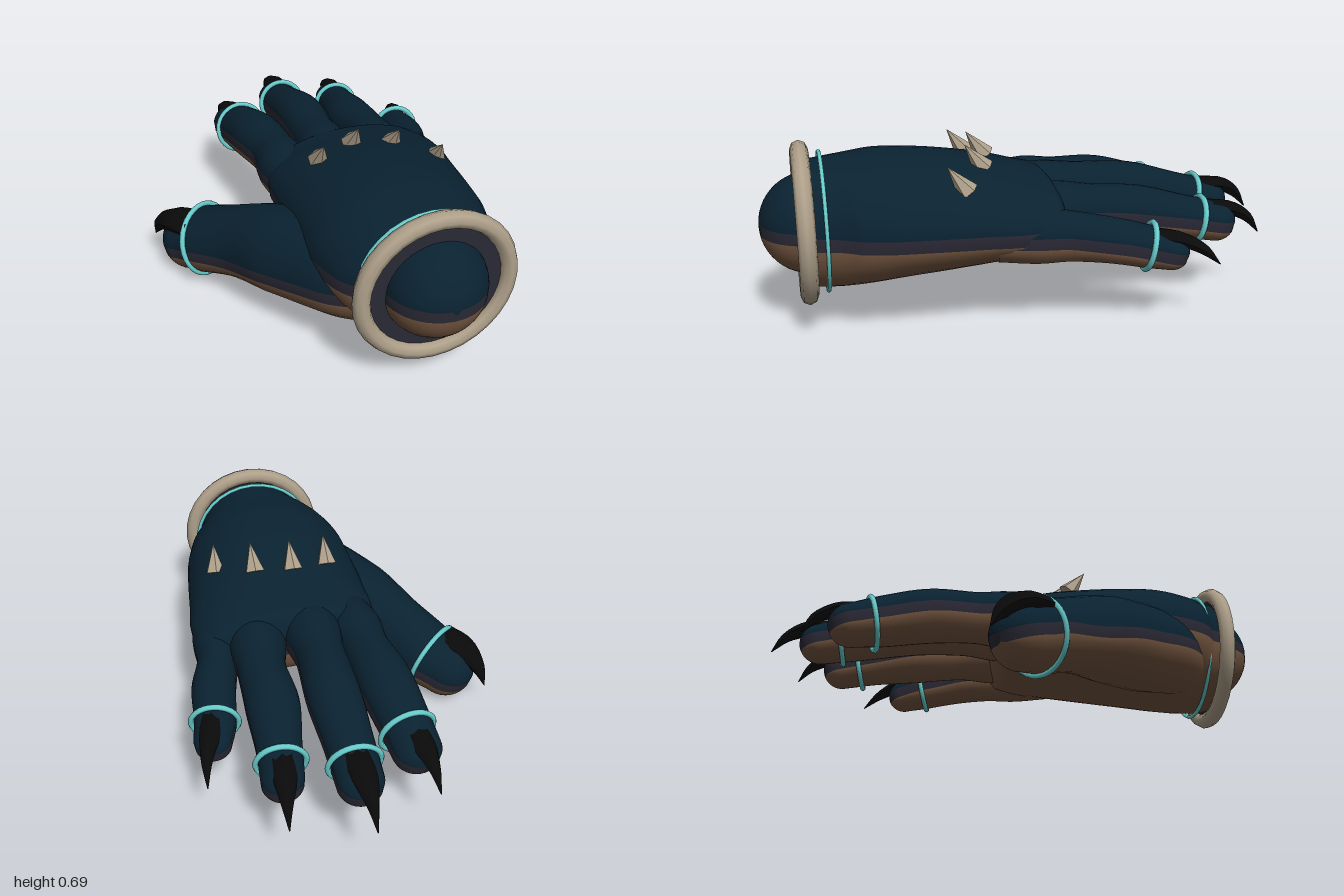
import * as THREE from 'three';

const mat = (name, color) => Object.assign(new THREE.MeshStandardMaterial({ color }), { name });
const navy = mat('navy hide', 0x0a2231);
const slate = mat('slate seam', 0x2a2935);
const brown = mat('brown palm', 0x745640);
const bone = mat('bone', 0xaea08a);
const cyan = mat('cyan trim', 0x6acfd0);
const black = mat('black claw', 0x0a0a0a);
const HIDE = [navy, slate, brown];
const UP = new THREE.Vector3(0, 1, 0);
const V = (a) => new THREE.Vector3(...a);

// Smooth loft along stations [x, y, z, halfWidth, rise, drop], coloured as top / seam / underside.
// The seam runs from height lo to hi about the centre line; the end is a dome of depth `cap`.
function limb(name, stations, { lo = -0.025, hi = 0.018, rows = 28, arc = 12, cap = 0, mats = HIDE } = {}) {
  const path = new THREE.CatmullRomCurve3(stations.map((s) => V(s.slice(0, 3))), false, 'centripetal');
  const size = new THREE.CatmullRomCurve3(stations.map((s) => V([s[3], s[4] ?? s[3], s[5] ?? s[4] ?? s[3]])));
  const pos = [], n = 2 * (arc + 1), domeRows = 12;
  const total = rows + (cap ? domeRows : 0);
  for (let i = 0; i <= total; i++) {
    const t = Math.min(i / rows, 1), bend = Math.max(0, i - rows) / domeRows * Math.PI / 2;
    const dir = path.getTangent(t), side = dir.clone().cross(UP).normalize(), up = side.clone().cross(dir);
    const c = path.getPoint(t).addScaledVector(dir, cap * Math.sin(bend));
    const r = size.getPoint(t).multiplyScalar(Math.cos(bend));
    const top = Math.asin(Math.min(1, hi / (r.y + 1e-6))), low = Math.asin(Math.max(-1, lo / (r.z + 1e-6)));
    for (let j = 0; j < n; j++) {
      const a = j <= arc ? top + (Math.PI - 2 * top) * j / arc
        : Math.PI - low + (Math.PI + 2 * low) * (j - arc - 1) / arc;
      const s = Math.sin(a);
      const p = c.clone().addScaledVector(side, r.x * Math.cos(a)).addScaledVector(up, s * (s > 0 ? r.y : r.z));
      pos.push(p.x, p.y, p.z);
    }
  }
  const parts = [[], [], []];
  for (let i = 0; i < total; i++) for (let j = 0; j < n; j++) {
    const a = i * n + j, b = i * n + (j + 1) % n, c = a + n, d = b + n;
    const k = j < arc ? 0 : (j === arc || j === n - 1) ? 1 : 2;
    parts[k].push(a, c, b, b, c, d);
  }
  const geo = new THREE.BufferGeometry();
  geo.setAttribute('position', new THREE.Float32BufferAttribute(pos, 3));
  geo.setIndex(parts.flat());
  let start = 0;
  parts.forEach((p, k) => { geo.addGroup(start, p.length, k); start += p.length; });
  geo.computeVertexNormals();
  const mesh = new THREE.Mesh(geo, mats);
  mesh.name = name;
  return mesh;
}

function torus(name, center, dir, radius, tube, material, sides = 6) {
  const mesh = new THREE.Mesh(new THREE.TorusGeometry(radius, tube, sides, 32), material);
  mesh.name = name;
  mesh.position.copy(V(center));
  mesh.quaternion.setFromUnitVectors(new THREE.Vector3(0, 0, 1), V(dir).normalize());
  return mesh;
}

// Each digit: body stations, tip dome depth, trim ring [centre, direction, radius], claw path
const digits = {
  thumb: {
    body: [[0.04, 0.31, 0.69, 0.12, 0.14], [-0.04, 0.29, 0.57, 0.168, 0.18, 0.15], [-0.11, 0.27, 0.45, 0.18, 0.2, 0.15],
      [-0.21, 0.243, 0.31, 0.175, 0.198, 0.14], [-0.33, 0.195, 0.15, 0.138, 0.175, 0.115],
      [-0.44, 0.152, 0.0, 0.138, 0.14, 0.13], [-0.495, 0.124, -0.065, 0.12, 0.125, 0.123]],
    cap: 0.12, ring: [[-0.447, 0.155, -0.008], [-0.63, -0.28, -0.77], 0.142],
    claw: [[-0.49, 0.235, 0.0, 0.085, 0.045], [-0.56, 0.225, -0.08, 0.062, 0.045], [-0.605, 0.17, -0.15, 0.03], [-0.625, 0.1, -0.19, 0.002]],
  },
  indexFinger: {
    body: [[-0.05, 0.38, 0.12, 0.11], [-0.09, 0.385, -0.06, 0.112, 0.12], [-0.1, 0.385, -0.2, 0.096, 0.105],
      [-0.122, 0.37, -0.38, 0.108], [-0.143, 0.325, -0.56, 0.1], [-0.155, 0.295, -0.68, 0.094, 0.085]],
    cap: 0.09, ring: [[-0.145, 0.312, -0.6], [-0.12, -0.2, -0.97], 0.105],
    claw: [[-0.15, 0.36, -0.63, 0.055, 0.03], [-0.167, 0.35, -0.73, 0.044, 0.03], [-0.18, 0.31, -0.81, 0.022], [-0.19, 0.24, -0.86, 0.002]],
  },
  middleFinger: {
    body: [[0.09, 0.41, 0.12, 0.11], [0.09, 0.415, -0.08, 0.115, 0.12], [0.09, 0.415, -0.24, 0.097, 0.105],
      [0.095, 0.405, -0.44, 0.103], [0.09, 0.355, -0.65, 0.092], [0.09, 0.32, -0.81, 0.086, 0.082]],
    cap: 0.085, ring: [[0.09, 0.337, -0.735], [0, -0.2, -0.98], 0.096],
    claw: [[0.09, 0.39, -0.755, 0.055, 0.03], [0.087, 0.38, -0.87, 0.044, 0.03], [0.083, 0.34, -0.945, 0.022], [0.08, 0.27, -1.0, 0.002]],
  },
  ringFinger: {
    body: [[0.28, 0.4, 0.12, 0.11], [0.308, 0.4, -0.08, 0.114, 0.115], [0.32, 0.395, -0.24, 0.094, 0.1],
      [0.315, 0.375, -0.4, 0.102], [0.33, 0.34, -0.6, 0.085], [0.345, 0.315, -0.735, 0.079]],
    cap: 0.077, ring: [[0.335, 0.327, -0.66], [0.08, -0.18, -0.97], 0.09],
    claw: [[0.337, 0.378, -0.68, 0.05, 0.028], [0.345, 0.365, -0.79, 0.041, 0.028], [0.355, 0.325, -0.865, 0.02], [0.36, 0.26, -0.915, 0.002]],
  },
  littleFinger: {
    body: [[0.43, 0.37, 0.16, 0.1], [0.457, 0.365, 0.03, 0.096, 0.105], [0.472, 0.355, -0.1, 0.08, 0.095],
      [0.508, 0.34, -0.24, 0.085], [0.525, 0.308, -0.38, 0.08], [0.547, 0.288, -0.462, 0.072, 0.068]],
    cap: 0.07, ring: [[0.527, 0.312, -0.382], [0.16, -0.2, -0.96], 0.088],
    claw: [[0.535, 0.355, -0.395, 0.044, 0.028], [0.56, 0.34, -0.49, 0.038, 0.028], [0.585, 0.3, -0.575, 0.02], [0.595, 0.24, -0.64, 0.002]],
  },
};

export function createModel() {
  const model = new THREE.Group();
  model.name = 'clawedHand';

  // Back of the hand and palm, from wrist to knuckles
  model.add(limb('palm', [
    [0.17, 0.385, 0.83, 0.235, 0.235, 0.235], [0.17, 0.385, 0.77, 0.255, 0.24, 0.24],
    [0.162, 0.385, 0.68, 0.315, 0.245, 0.235], [0.155, 0.385, 0.55, 0.35, 0.255, 0.22],
    [0.16, 0.385, 0.38, 0.362, 0.243, 0.2], [0.168, 0.385, 0.2, 0.37, 0.215, 0.175],
    [0.175, 0.385, 0.07, 0.376, 0.185, 0.155], [0.172, 0.385, -0.04, 0.35, 0.157, 0.135],
  ], { lo: -0.03, arc: 20, rows: 36, cap: 0.075 }));

  // Rounded wrist end
  model.add(limb('wristEnd', [[0.17, 0.387, 0.68, 0.19], [0.17, 0.387, 0.81, 0.19]],
    { arc: 16, rows: 4, cap: 0.19 }));

  // Cuff: bone ring, dark lining and thin trim
  model.add(torus('cuffRing', [0.17, 0.387, 0.837], [0, 0, 1], 0.272, 0.033, bone, 8));
  model.add(torus('wristTrim', [0.17, 0.387, 0.767], [0, 0, 1], 0.259, 0.008, cyan));
  const lining = new THREE.Mesh(new THREE.CylinderGeometry(0.256, 0.256, 0.02, 32), slate);
  lining.name = 'cuffLining';
  lining.rotation.x = Math.PI / 2;
  lining.position.set(0.17, 0.387, 0.832);
  model.add(lining);

  // Thumb and fingers with their trim rings and claws
  for (const [name, d] of Object.entries(digits)) {
    const digit = new THREE.Group();
    digit.name = name;
    digit.add(limb(name + 'Body', d.body, { cap: d.cap }));
    digit.add(torus(name + 'Trim', ...d.ring, 0.011, cyan));
    digit.add(limb(name + 'Claw', d.claw, { lo: 0, hi: 0, rows: 10, arc: 4, cap: 0.002, mats: [black, black, black] }));
    model.add(digit);
  }

  // Faceted knuckle spikes leaning toward the wrist
  const spikes = [[-0.035, 0.575, 0.2, -0.02], [0.115, 0.6, 0.155, 0], [0.265, 0.59, 0.19, 0.02], [0.412, 0.55, 0.28, -0.06]];
  for (const [x, y, z, lean] of spikes) {
    const geo = new THREE.ConeGeometry(0.042, 0.12, 6).toNonIndexed();
    geo.computeVertexNormals();
    const spike = new THREE.Mesh(geo, bone);
    spike.name = 'knuckleSpike';
    const dir = new THREE.Vector3(lean, 0.8, 0.6).normalize();
    spike.quaternion.setFromUnitVectors(UP, dir);
    spike.position.set(x, y, z).addScaledVector(dir, 0.04);
    model.add(spike);
  }
  return model;
}
